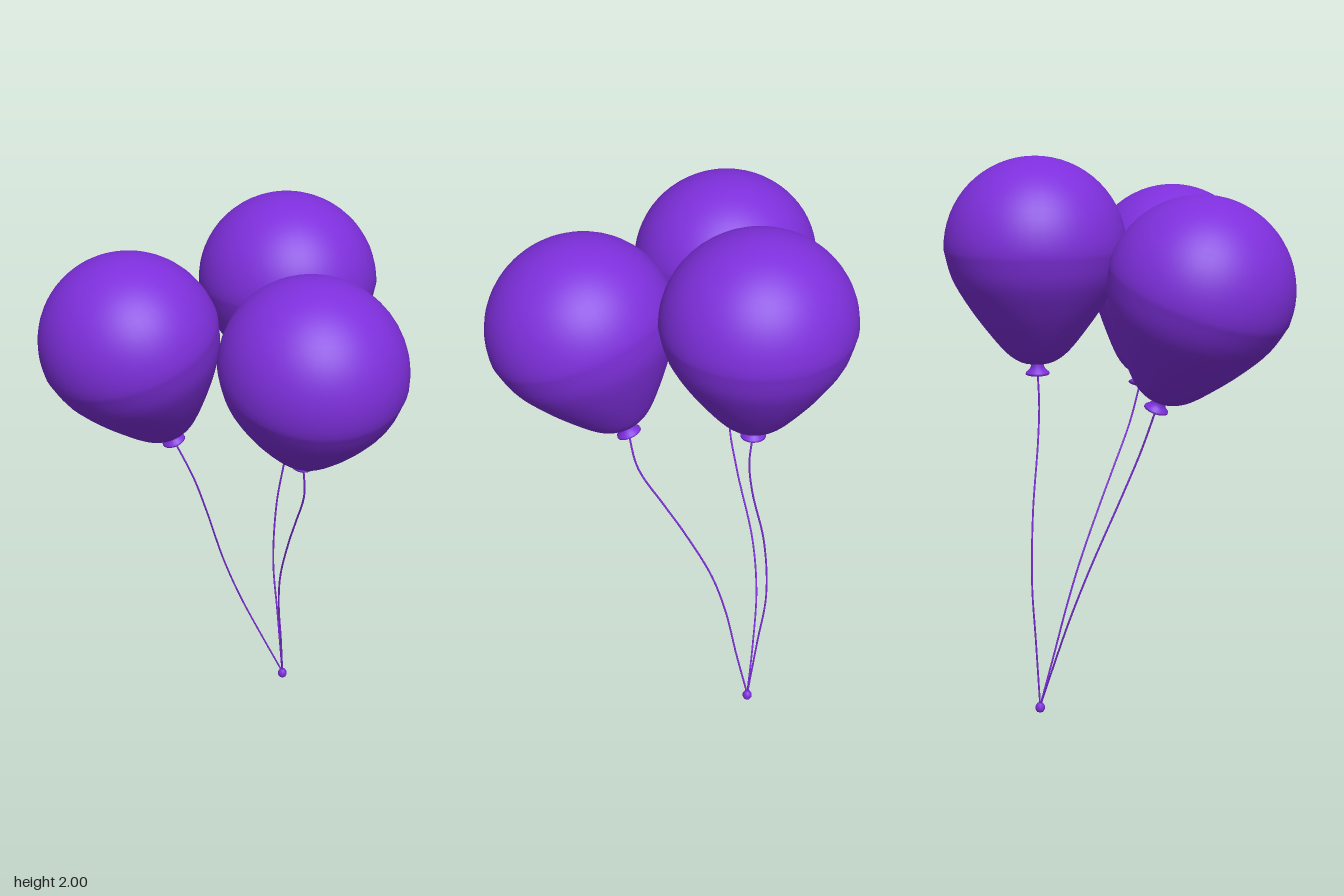
import * as THREE from 'three';

const R = 0.314; // balloon radius
const KNOT = 0.445; // distance from balloon centre to the end of its knot

export function createModel() {
  const model = new THREE.Group();
  model.name = 'balloonBunch';
  const purple = new THREE.MeshStandardMaterial({ color: 0x7e2fdc });
  purple.name = 'purple';

  // Balloon skin: tapering lower half, then a hemisphere
  const v = (x, y) => new THREE.Vector2(x, y);
  const taper = new THREE.SplineCurve([
    v(0.02, -0.405), v(0.06, -0.396), v(0.108, -0.362), v(0.168, -0.29),
    v(0.232, -0.2), v(0.288, -0.1), v(R, 0),
  ]).getPoints(24);
  const dome = [];
  for (let i = 1; i <= 16; i++) {
    const a = (i / 16) * Math.PI / 2;
    dome.push(v(i === 16 ? 0 : R * Math.cos(a), R * Math.sin(a)));
  }
  const skinGeometry = new THREE.LatheGeometry([...taper, ...dome], 48);

  // Tied end: narrow neck that flares into a thin lip
  const knotGeometry = new THREE.LatheGeometry([
    v(0, -0.437), v(0.026, -0.438), v(0.036, -KNOT), v(0.042, -0.442),
    v(0.041, -0.435), v(0.03, -0.426), v(0.023, -0.415), v(0.024, -0.398),
  ], 24);

  const tie = new THREE.Vector3(-0.215, 0.02, -0.315);

  // Centre and knot of each balloon; string waypoints are [x, y], z runs straight
  const balloons = [
    { name: 'back', centre: [-0.205, 1.686, -0.315], knot: [-0.2, 1.24, -0.315],
      string: [[-0.19, 1.13], [-0.205, 1.0], [-0.257, 0.76], [-0.274, 0.5], [-0.247, 0.28]] },
    { name: 'front', centre: [-0.307, 1.57, 0.315], knot: [-0.285, 1.155, 0.152],
      string: [[-0.258, 1.0], [-0.268, 0.84], [-0.3, 0.58], [-0.294, 0.39], [-0.258, 0.2]] },
    { name: 'left', centre: [0.303, 1.573, 0.015], knot: [0.166, 1.16, -0.066],
      string: [[0.145, 1.025], [0.06, 0.865], [-0.004, 0.75], [-0.1, 0.55], [-0.147, 0.39], [-0.18, 0.2]] },
  ];

  for (const b of balloons) {
    const centre = new THREE.Vector3(...b.centre);
    const knotEnd = new THREE.Vector3(...b.knot);

    // Balloon tilted so its knot points at the string
    const balloon = new THREE.Group();
    balloon.name = `${b.name}Balloon`;
    const skin = new THREE.Mesh(skinGeometry, purple);
    skin.name = 'skin';
    const knot = new THREE.Mesh(knotGeometry, purple);
    knot.name = 'knot';
    balloon.add(skin, knot);
    balloon.scale.x = 1.04;
    balloon.position.copy(centre);
    balloon.quaternion.setFromUnitVectors(
      new THREE.Vector3(0, -1, 0), knotEnd.clone().sub(centre).normalize());
    model.add(balloon);

    // Wavy string from the knot down to the shared tie
    const start = knotEnd.clone().lerp(centre, 0.03);
    const points = b.string.map(([x, y]) => new THREE.Vector3(
      x, y, THREE.MathUtils.mapLinear(y, start.y, tie.y, start.z, tie.z)));
    const curve = new THREE.CatmullRomCurve3([start, ...points, tie]);
    const string = new THREE.Mesh(new THREE.TubeGeometry(curve, 64, 0.0035, 8), purple);
    string.name = `${b.name}String`;
    model.add(string);
  }

  // Small bead where the strings meet
  const bead = new THREE.Mesh(new THREE.LatheGeometry([
    v(0, 0), v(0.013, 0), v(0.017, 0.008), v(0.017, 0.02), v(0.011, 0.031), v(0, 0.034),
  ], 16), purple);
  bead.name = 'tieBead';
  bead.position.set(tie.x, 0, tie.z);
  model.add(bead);

  return model;
}
